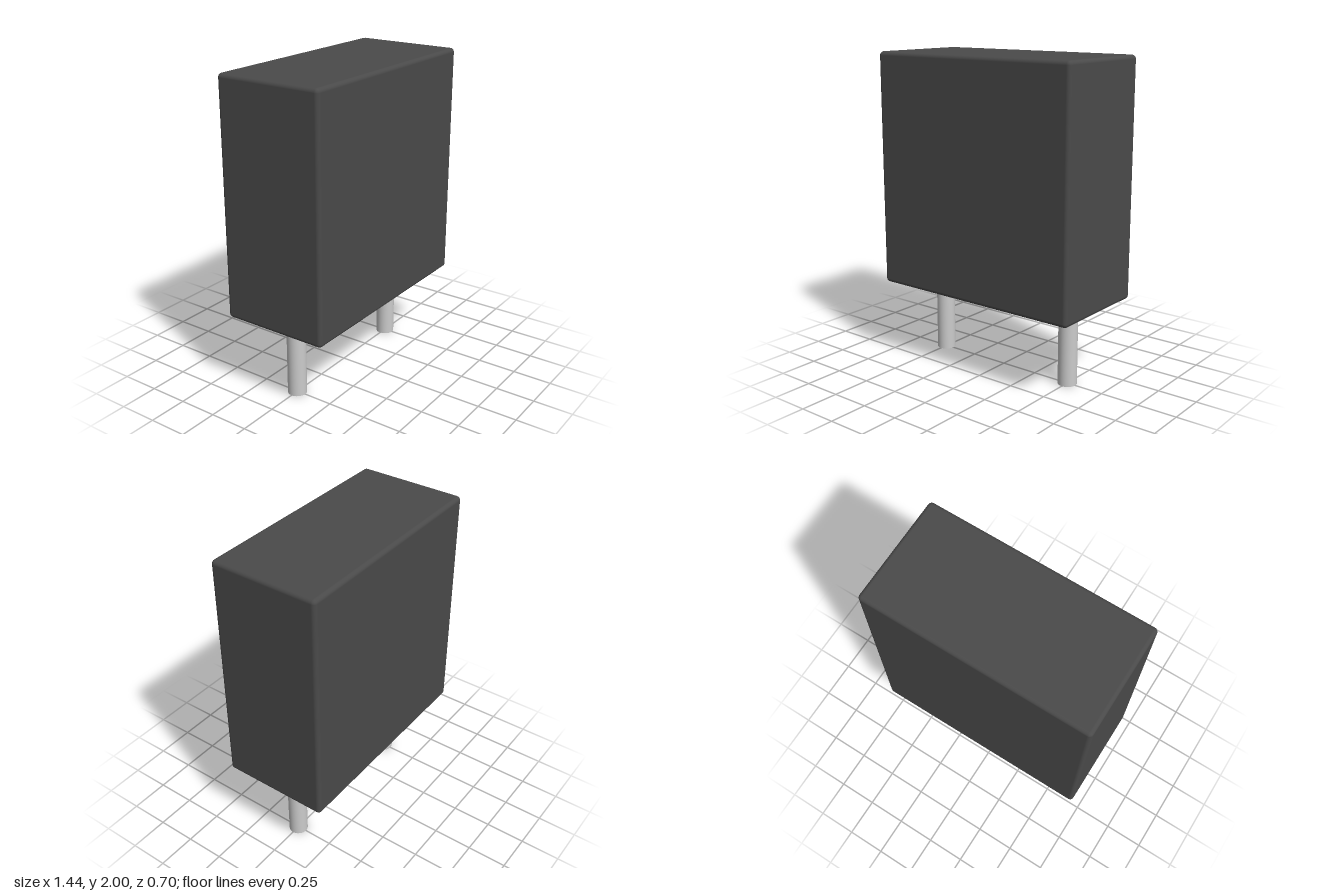
import * as THREE from 'three';
import { RoundedBoxGeometry } from 'three/addons/geometries/RoundedBoxGeometry.js';

const BODY = { width: 1.436, height: 1.495, depth: 0.696, radius: 0.025 };
const PIN = { radius: 0.06, spacing: 1.0 };
const BODY_BOTTOM = 2 - BODY.height;

export function createModel() {
  const model = new THREE.Group();
  model.name = 'boxComponent';
  const dark = new THREE.MeshStandardMaterial({ color: 0x4a4a4a });
  const grey = new THREE.MeshStandardMaterial({ color: 0xcccccc });

  // Moulded case with softly rounded edges
  const body = new THREE.Mesh(
    new RoundedBoxGeometry(BODY.width, BODY.height, BODY.depth, 4, BODY.radius), dark);
  body.name = 'body';
  body.position.y = BODY_BOTTOM + BODY.height / 2;
  model.add(body);

  // Two round pins standing under the case
  const pinGeometry = new THREE.CylinderGeometry(PIN.radius, PIN.radius, BODY_BOTTOM, 32);
  for (const [name, side] of [['leftPin', 1], ['rightPin', -1]]) {
    const pin = new THREE.Mesh(pinGeometry, grey);
    pin.name = name;
    pin.position.set(side * PIN.spacing / 2, BODY_BOTTOM / 2, 0);
    model.add(pin);
  }
  return model;
}
